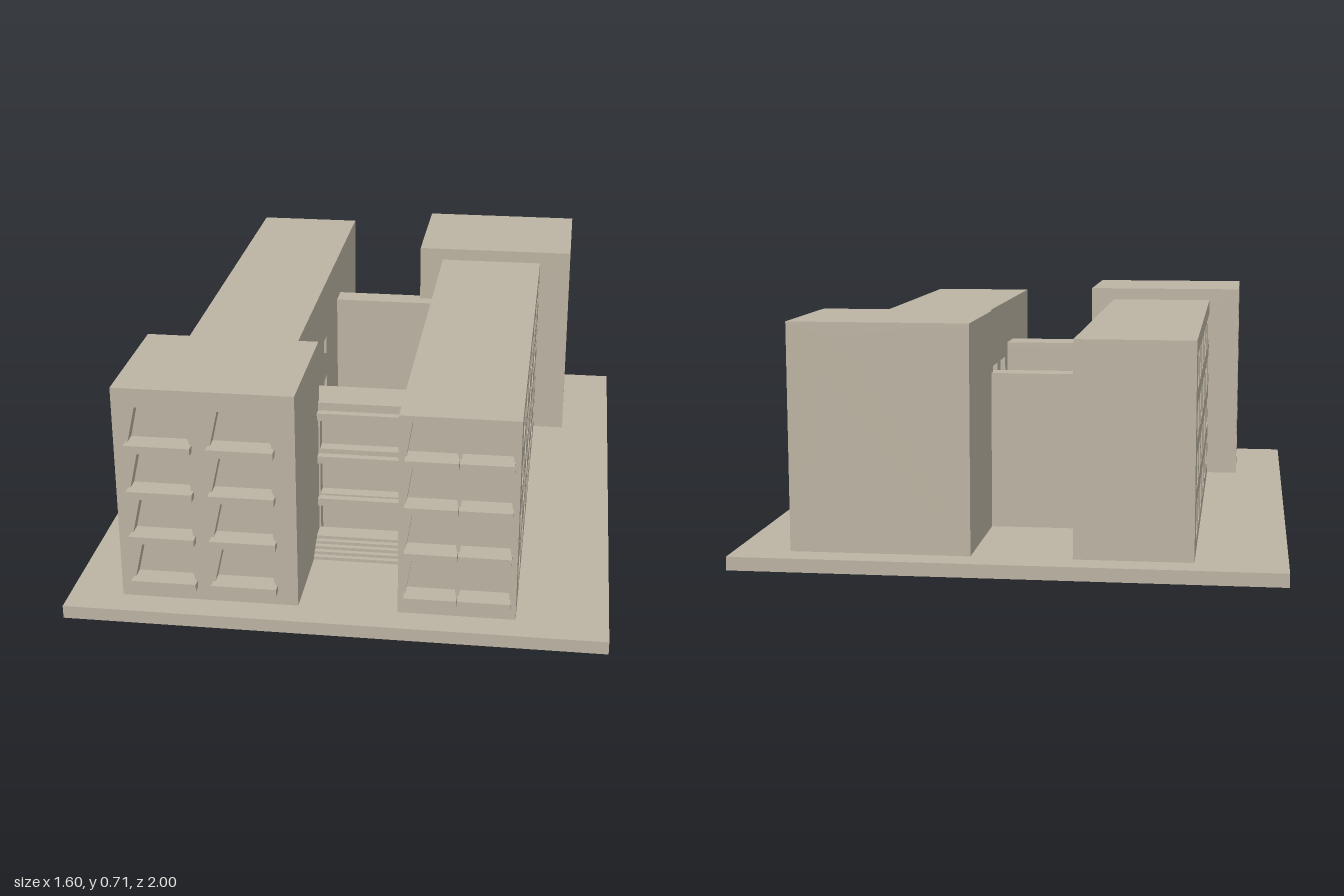
import * as THREE from 'three';

const GROUND = 0.04;

export function createModel() {
  const model = new THREE.Group();
  const stone = new THREE.MeshStandardMaterial({ color: 0xbcb3a2 });
  stone.name = 'warm grey stone';

  const box = (parent, name, x0, x1, y0, y1, z0, z1) => {
    const mesh = new THREE.Mesh(new THREE.BoxGeometry(x1 - x0, y1 - y0, z1 - z0), stone);
    mesh.position.set((x0 + x1) / 2, (y0 + y1) / 2, (z0 + z1) / 2);
    mesh.name = name;
    parent.add(mesh);
  };

  // Openings are {c, y0, y1, b, t}: centre along the wall, heights, half widths below and above
  const TURN = { front: 0, left: Math.PI / 2, back: Math.PI, right: -Math.PI / 2 };
  const DEPTH = { front: 0.04, left: 0.02, back: 0.02, right: 0.02 };

  // Thin pierced wall laid on one face of a block; a and b are its ends along x or z
  const wall = (parent, side, a, b, top, plane, openings) => {
    const flip = side === 'left' || side === 'back' ? -1 : 1;
    const path = (Type, pts) => {
      const p = new Type();
      pts.forEach(([u, v], i) => (i ? p.lineTo(u * flip, v) : p.moveTo(u * flip, v)));
      p.closePath();
      return p;
    };
    const shape = path(THREE.Shape, [[a, GROUND], [b, GROUND], [b, top], [a, top]]);
    for (const o of openings) {
      shape.holes.push(path(THREE.Path, [
        [o.c - o.b, o.y0], [o.c + o.b, o.y0], [o.c + o.t, o.y1], [o.c - o.t, o.y1]]));
    }
    const depth = DEPTH[side];
    const geometry = new THREE.ExtrudeGeometry(shape, { depth, bevelEnabled: false });
    geometry.translate(0, 0, plane - depth);
    geometry.rotateY(TURN[side]);
    const mesh = new THREE.Mesh(geometry, stone);
    mesh.name = side + 'Wall';
    parent.add(mesh);
  };

  // Solid core, set back wherever a pierced wall covers it
  const block = (name, x0, x1, z0, z1, top, faces) => {
    const group = new THREE.Group();
    group.name = name;
    const inset = (side) => (faces[side] ? DEPTH[side] : 0);
    box(group, 'core', x0 + inset('right'), x1 - inset('left'), GROUND, top - 0.001,
      z0 + inset('back'), z1 - inset('front'));
    box(group, 'roof', x0, x1, top - 0.02, top, z0, z1);
    const planes = { front: z1, left: x1, back: -z0, right: -x0 };
    for (const side in faces) {
      const alongX = side === 'front' || side === 'back';
      wall(group, side, alongX ? x0 : z0, alongX ? x1 : z1, top, planes[side], faces[side]);
    }
    model.add(group);
    return group;
  };

  const grid = (centres, rows, halfWidth, height) => centres.flatMap((c) =>
    rows.map((y) => ({ c, y0: y - height / 2, y1: y + height / 2, b: halfWidth, t: halfWidth })));
  const columns = (first, count) => Array.from({ length: count }, (_, i) => first - i * 0.187);

  const ROWS = [0.13, 0.277, 0.424, 0.571];
  const wingWindows = columns(0.725, 7);
  const endWindows = columns(-0.58, 2);
  const mirrored = (list) => list.map((z) => -z);
  const courtyard = grid([-0.3, -0.115, 0.07, 0.255], [0.14, 0.285, 0.43], 0.058, 0.09);

  // Tapered balcony openings and their projecting slabs
  const FLOORS = [0, 1, 2, 3].map((i) => 0.105 + i * 0.1465);
  const tapered = (centres, b, t) => centres.flatMap((c) =>
    FLOORS.map((y) => ({ c, y0: y, y1: y + 0.108, b, t })));
  const balconies = (parent, centres, half) => centres.forEach((c) =>
    FLOORS.forEach((y) => box(parent, 'balconySlab', c - half, c + half, y - 0.022, y, 0.865, 0.94)));

  box(model, 'basePlate', -0.8, 0.8, 0, GROUND, -1, 1);

  const frontBlock = block('frontBlock', -0.64, -0.11, 0.48, 0.91, 0.71, {
    front: tapered([-0.507, -0.267], 0.09, 0.066),
    right: grid(mirrored(endWindows), ROWS, 0.063, 0.1),
  });
  balconies(frontBlock, [-0.507, -0.267], 0.097);

  block('rightWing', -0.535, -0.19, -0.91, 0.48, 0.67, {
    right: grid(mirrored(wingWindows), ROWS, 0.063, 0.1),
    left: courtyard,
  });

  const leftWing = block('leftWing', 0.185, 0.53, -0.48, 0.91, 0.67, {
    front: tapered([0.281, 0.437], 0.074, 0.057),
    left: grid(wingWindows, ROWS, 0.063, 0.1),
    right: courtyard,
  });
  balconies(leftWing, [0.281, 0.437], 0.077);

  block('backBlock', 0.105, 0.635, -0.91, -0.48, 0.71, {
    left: grid(endWindows, ROWS, 0.063, 0.1),
    back: grid([0.5], [0.165, 0.322, 0.48, 0.638], 0.02, 0.065),
  });

  // Links between the wings; the front one has wide windows under ledges
  block('backLink', -0.19, 0.185, -0.51, -0.43, 0.52, {});
  const link = block('entranceLink', -0.19, 0.185, 0.37, 0.505, 0.52, {
    front: [[0.06, 0.17], [0.21, 0.315], [0.365, 0.462]].map(([y0, y1]) =>
      ({ c: 0.025, y0, y1, b: 0.13, t: 0.13 })),
  });
  for (const y of [0.18, 0.325, 0.47]) box(link, 'ledge', -0.11, 0.185, y, y + 0.024, 0.5, 0.53);

  // Entrance steps
  for (let i = 0; i < 5; i++) {
    box(link, 'step', -0.11, 0.163, GROUND, 0.05 + i * 0.01, 0.5, 0.625 - i * 0.016);
  }
  return model;
}
